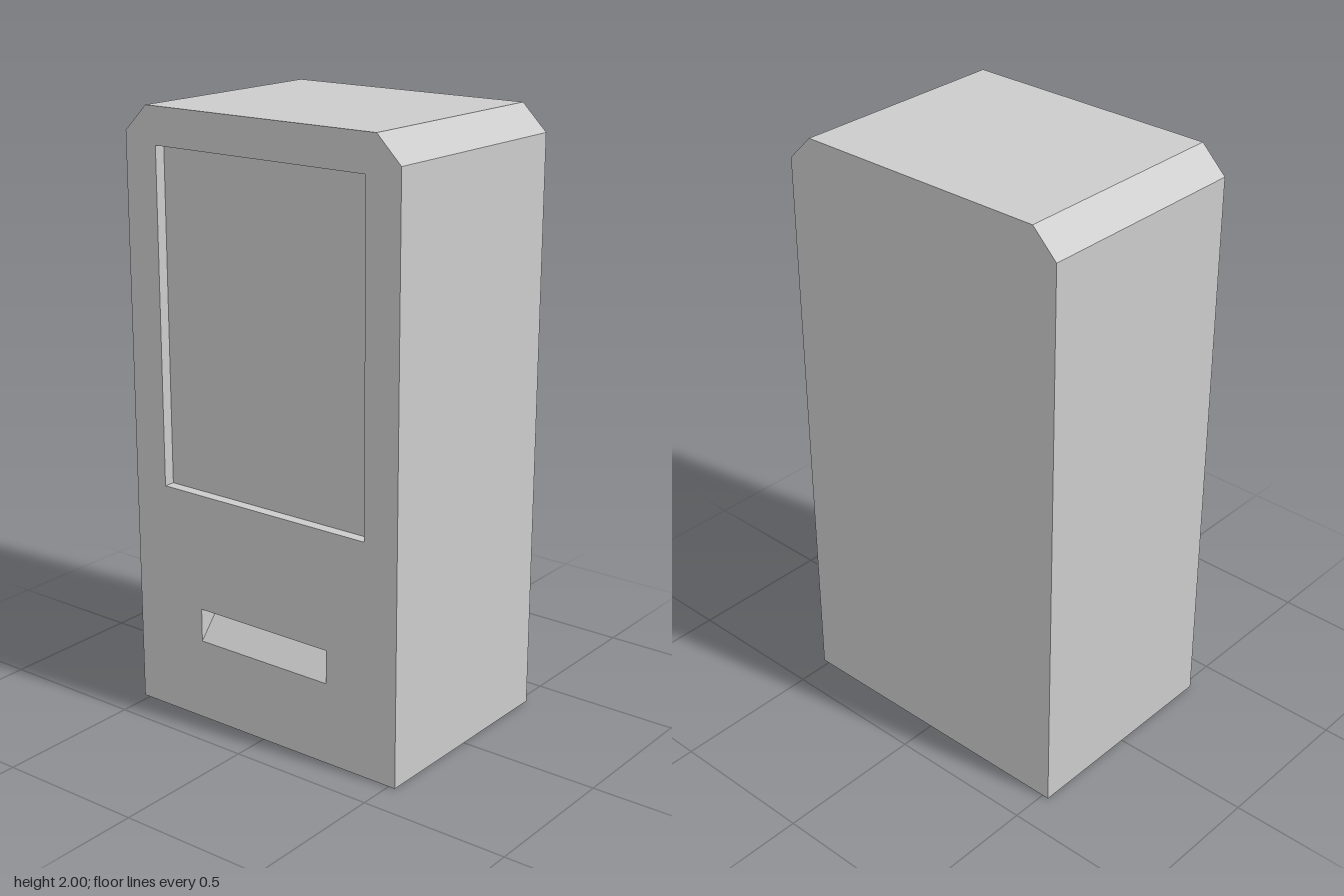
import * as THREE from 'three';

const FRONT = 0.376, BACK = -0.376;
const material = new THREE.MeshStandardMaterial({ color: 0xcccccc, flatShading: true });

// Flat-shaded geometry from a list of corner quads, dropping collapsed triangles
function quads(list) {
  const pos = [];
  for (const [a, b, c, d] of list) {
    for (const t of [[a, b, c], [a, c, d]]) {
      if (new THREE.Triangle(...t).getArea() < 1e-8) continue;
      t.forEach(p => pos.push(p.x, p.y, p.z));
    }
  }
  const geo = new THREE.BufferGeometry();
  geo.setAttribute('position', new THREE.Float32BufferAttribute(pos, 3));
  geo.computeVertexNormals();
  return geo;
}

// Walls joining a front loop to a back loop (counter-clockwise faces outward)
function walls(front, back) {
  return quads(front.map((p, i) => {
    const j = (i + 1) % front.length;
    return [p, back[i], back[j], front[j]];
  }));
}

const atZ = (pts, z) => pts.map(p => new THREE.Vector3(p.x, p.y, z));

export function createModel() {
  const group = new THREE.Group();
  group.name = 'vendingMachine';
  const add = (name, geo, parent = group) => {
    const mesh = new THREE.Mesh(geo, material);
    mesh.name = name;
    parent.add(mesh);
    return mesh;
  };

  // Cabinet outline with chamfered top corners
  const outline = [
    [-0.523, 0], [0.523, 0], [0.523, 1.915], [0.437, 2], [-0.437, 2], [-0.523, 1.915],
  ].map(p => new THREE.Vector2(...p));
  const frontShape = new THREE.Shape(outline);

  // Recess in the front: clockwise opening, floor depth set at its bottom and top
  function recess(name, floorName, x, y0, y1, bottomDepth, topDepth) {
    const hole = [[-x, y0], [-x, y1], [x, y1], [x, y0]].map(p => new THREE.Vector2(...p));
    frontShape.holes.push(new THREE.Path(hole));
    const rim = atZ(hole, FRONT);
    const floor = rim.map((p, i) =>
      new THREE.Vector3(p.x, p.y, FRONT - (i === 1 || i === 2 ? topDepth : bottomDepth)));
    const part = new THREE.Group();
    part.name = name;
    add(name + 'Walls', walls(rim, floor), part);
    add(floorName, quads([[floor[0], floor[3], floor[2], floor[1]]]), part);
    group.add(part);
  }
  recess('displayWindow', 'windowPane', 0.4, 0.78, 1.88, 0.037, 0.037);
  recess('deliverySlot', 'slopedFlap', 0.256, 0.274, 0.386, 0, 0.094);

  // Cabinet shell
  add('cabinetSides', walls(atZ(outline, FRONT), atZ(outline, BACK)));
  add('frontPanel', new THREE.ShapeGeometry(frontShape)).position.z = FRONT;
  const back = add('backPanel', new THREE.ShapeGeometry(new THREE.Shape(outline)));
  back.rotation.y = Math.PI;
  back.position.z = BACK;

  return group;
}
